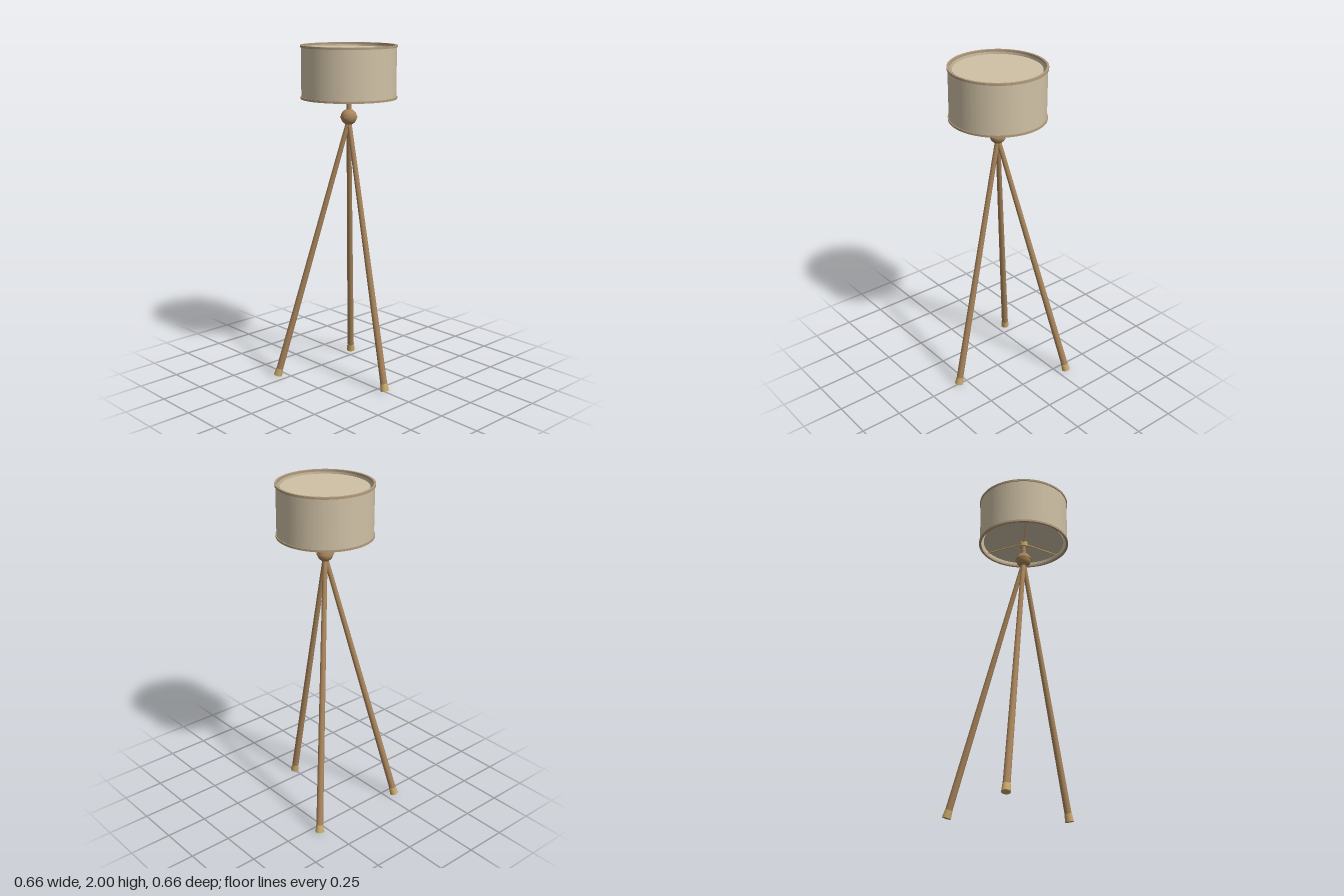
import * as THREE from 'three';

const mat = (name, color) => {
  const m = new THREE.MeshStandardMaterial({ color });
  m.name = name;
  return m;
};

export function createModel() {
  const linen = mat('linen', 0xd0c1a6);
  const trim = mat('trim', 0xb09a7c);
  const wood = mat('wood', 0xa9855c);
  const brass = mat('brass', 0xc9a96c);

  const lamp = new THREE.Group();
  lamp.name = 'tripodFloorLamp';

  const add = (name, geometry, material, y = 0, parent = lamp) => {
    const mesh = new THREE.Mesh(geometry, material);
    mesh.name = name;
    mesh.position.y = y;
    parent.add(mesh);
    return mesh;
  };

  // Hollow ring with square edges, from y = 0 up to h
  const ring = (inner, outer, h) => {
    const shape = new THREE.Shape().absarc(0, 0, outer, 0, Math.PI * 2);
    shape.holes.push(new THREE.Path().absarc(0, 0, inner, 0, Math.PI * 2, true));
    return new THREE.ExtrudeGeometry(shape, { depth: h, bevelEnabled: false, curveSegments: 48 })
      .rotateX(-Math.PI / 2);
  };

  // Drum shade with trimmed rims
  add('shadeWall', ring(0.264, 0.27, 0.28), linen, 1.71);
  add('lowerRim', ring(0.262, 0.275, 0.012), trim, 1.7);
  add('upperRim', ring(0.262, 0.275, 0.012), trim, 1.988);

  // Diffuser discs, set inside the rims with a gap all round
  const disc = new THREE.CylinderGeometry(0.246, 0.246, 0.006, 64);
  add('lowerDiffuser', disc, linen, 1.72);
  add('upperDiffuser', disc, linen, 1.977);

  // Spider arms that carry the shade
  for (let i = 0; i < 3; i++) {
    const arm = new THREE.CylinderGeometry(0.004, 0.004, 0.25, 10)
      .rotateX(Math.PI / 2).translate(0, 0, 0.125);
    add('spiderArm', arm, brass, 1.711).rotation.y = i * Math.PI * 2 / 3;
  }

  // Socket, stem and ball joint
  add('socket', new THREE.CylinderGeometry(0.025, 0.025, 0.03, 32), brass, 1.702);
  add('stem', new THREE.CylinderGeometry(0.014, 0.014, 0.08, 24), wood, 1.655);
  add('ballJoint', new THREE.SphereGeometry(0.046, 32, 20), wood, 1.594);
  add('ballCollar', new THREE.CylinderGeometry(0.05, 0.05, 0.006, 40), wood, 1.594);

  // Tapered legs with brass feet, each built along its own axis
  const apex = new THREE.Vector3(0, 1.575, 0);
  const up = new THREE.Vector3(0, 1, 0);
  for (const [name, x, z] of [['frontLeg', 0, 0.307], ['backLeftLeg', 0.307, -0.307], ['backRightLeg', -0.307, -0.307]]) {
    const base = new THREE.Vector3(x, 0.006, z);
    const axis = apex.clone().sub(base);
    const length = axis.length();
    const leg = new THREE.Group();
    leg.name = name;
    leg.position.copy(base);
    leg.quaternion.setFromUnitVectors(up, axis.normalize());
    add(name + 'Pole', new THREE.CylinderGeometry(0.0135, 0.0205, length - 0.01, 24), wood, length / 2 + 0.005, leg);
    add(name + 'Foot', new THREE.CylinderGeometry(0.0215, 0.025, 0.045, 28), brass, 0.0225, leg);
    lamp.add(leg);
  }
  return lamp;
}
